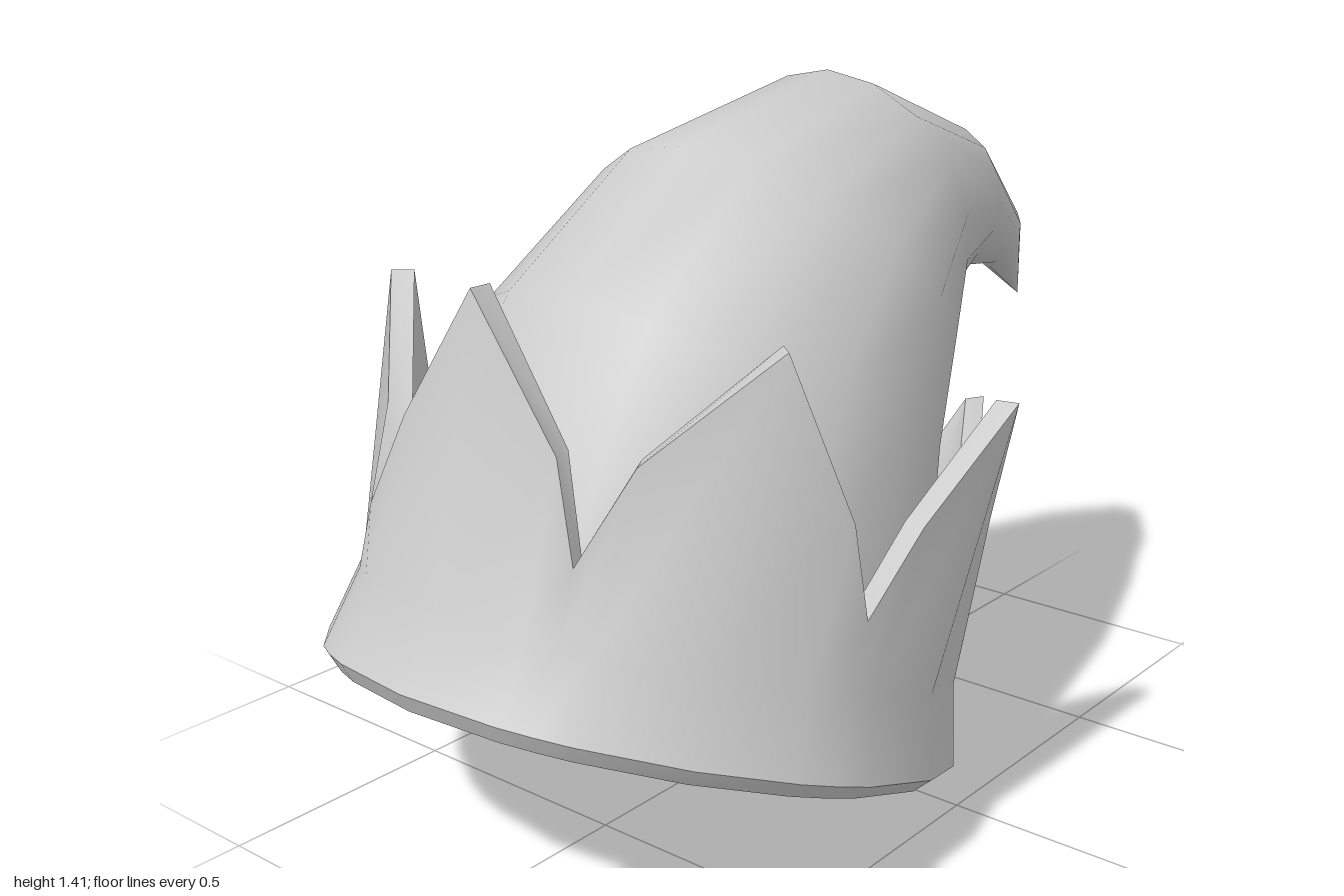
import * as THREE from 'three';
import { toCreasedNormals } from 'three/addons/utils/BufferGeometryUtils.js';

const V = (x, y, z) => new THREE.Vector3(x, y, z);

// Skin over closed rings of points (each ring runs from the front towards +x)
function loft(rings, crease, name) {
  const n = rings[0].length, pos = [], idx = [];
  rings.forEach(r => r.forEach(p => pos.push(p.x, p.y, p.z)));
  for (let i = 0; i < rings.length - 1; i++) {
    for (let j = 0; j < n; j++) {
      const a = i * n + j, b = i * n + (j + 1) % n;
      idx.push(a, b, b + n, a, b + n, a + n);
    }
  }
  const g = new THREE.BufferGeometry();
  g.setAttribute('position', new THREE.Float32BufferAttribute(pos, 3));
  g.setIndex(idx);
  const mat = new THREE.MeshStandardMaterial({ color: 0xcccccc, side: THREE.DoubleSide });
  const mesh = new THREE.Mesh(toCreasedNormals(g, crease), mat);
  mesh.name = name;
  return mesh;
}

// Tilted frame of the base: centre, forward direction and axis
const C = V(0, 0.215, 0.385);
const FWD = V(0, 0.345, 0.938).normalize();
const AXIS = V(0, 0.938, -0.345).normalize();
const basePoint = (angle, h, rx, rz) => C.clone()
  .addScaledVector(FWD, rz * Math.cos(angle))
  .addScaledVector(AXIS, h)
  .add(V(rx * Math.sin(angle), 0, 0));

// Zigzag rim of the brim, one half from the front tip to the back notch
const RIM = [
  [0, 1.14, 0.785], [0.19, 0.88, 0.785], [0.255, 0.71, 0.82], [0.31, 0.87, 0.72],
  [0.49, 1.06, 0.545], [0.56, 0.75, 0.45], [0.575, 0.57, 0.43], [0.6, 0.71, 0.3],
  [0.61, 0.87, 0.01], [0.51, 0.6, -0.07], [0.465, 0.39, -0.08], [0.4, 0.52, -0.19],
  [0.27, 0.72, -0.42], [0.12, 0.46, -0.33], [0, 0.31, -0.285],
];

function makeBrim() {
  const half = RIM.map(p => V(...p));
  const mirrored = half.slice(1, -1).reverse().map(p => V(-p.x, p.y, p.z));
  const rim = [...half, ...mirrored];
  const angles = rim.map(p => Math.atan2(p.x / 0.61, p.clone().sub(C).dot(FWD) / 0.655));
  const ring = (h, rx, rz) => angles.map(a => basePoint(a, h, rx, rz));
  const inner = rim.map((p, i) => V(p.x - 0.045 * Math.sin(angles[i]), p.y, p.z - 0.045 * Math.cos(angles[i])));
  return loft([
    ring(0, 0, 0), ring(0, 0.585, 0.625), ring(0.03, 0.615, 0.655), ring(0.185, 0.58, 0.62),
    rim, inner, ring(0.15, 0.53, 0.57),
  ], 0.75, 'zigzagBrim');
}

// Hood sections: front z, y; back z, y; half width
const HOOD = [
  [0.85, 0.58, -0.18, 0.2, 0.53],
  [0.8, 0.74, -0.22, 0.36, 0.515],
  [0.56, 1.08, -0.26, 0.6, 0.465],
  [0.24, 1.31, -0.32, 0.75, 0.4],
  [-0.21, 1.412, -0.41, 0.86, 0.285],
  [-0.64, 1.26, -0.62, 0.93, 0.165],
  [-0.91, 1.04, -0.85, 0.9, 0.07],
  [-1, 0.8, -1, 0.8, 0],
];

function makeHood() {
  const sides = 16;
  const rings = HOOD.map(([fz, fy, bz, by, w]) => Array.from({ length: sides }, (_, j) => {
    const a = j / sides * Math.PI * 2, t = (1 + Math.cos(a)) / 2;
    return V(w * Math.sin(a), by + (fy - by) * t, bz + (fz - bz) * t);
  }));
  return loft(rings, 1.0, 'curvedHood');
}

export function createModel() {
  const hat = new THREE.Group();
  hat.name = 'pointedHat';
  hat.add(makeBrim(), makeHood());
  return hat;
}
